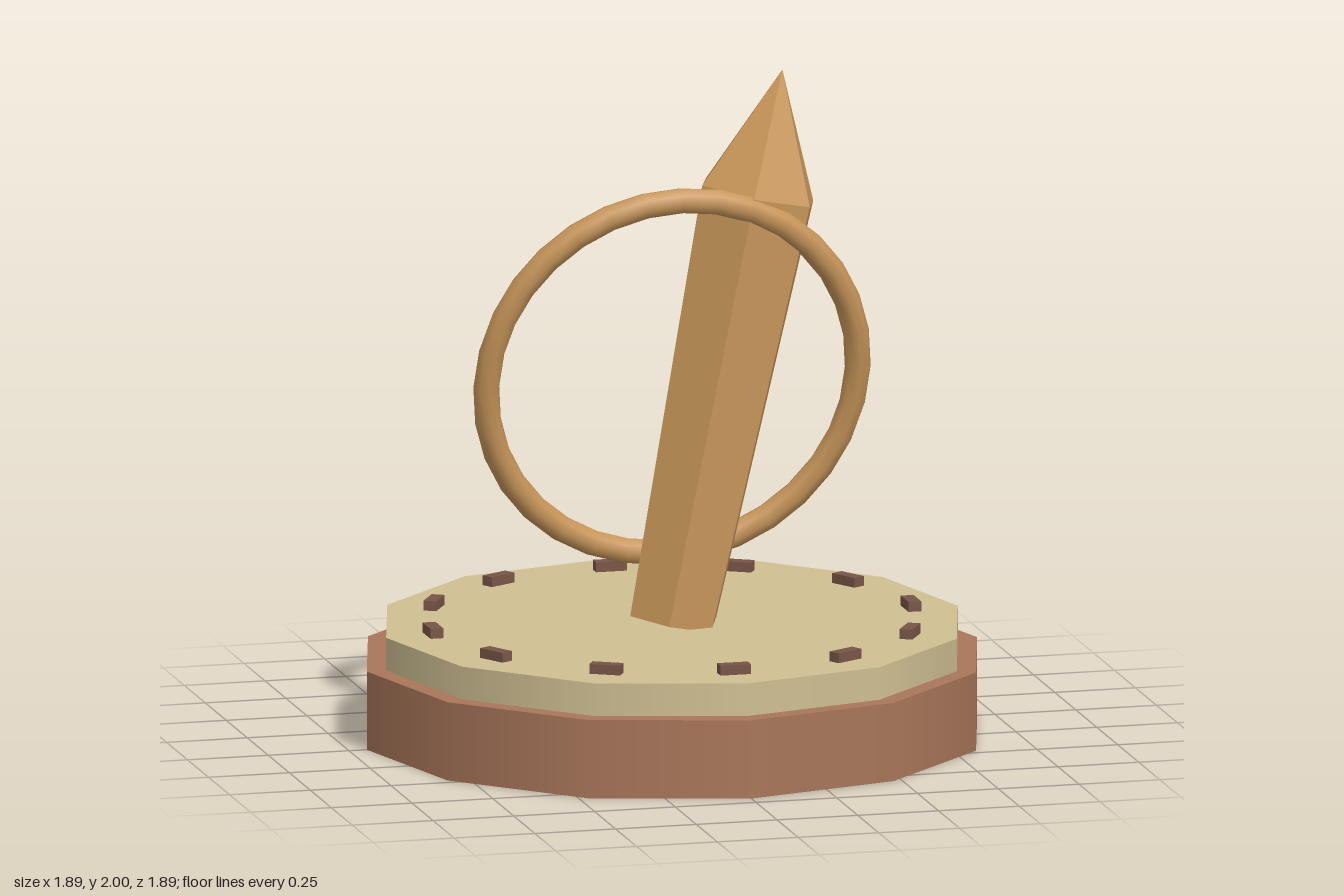
import * as THREE from 'three';

const mat = (color, flatShading = false) => new THREE.MeshStandardMaterial({ color, flatShading });

function part(name, geometry, material, parent, x = 0, y = 0, z = 0) {
  const mesh = new THREE.Mesh(geometry, material);
  mesh.name = name;
  mesh.position.set(x, y, z);
  parent.add(mesh);
  return mesh;
}

export function createModel() {
  const model = new THREE.Group();
  model.name = 'sundial';

  const clay = mat(0xa9765a);
  const sand = mat(0xcfbf92);
  const darkWood = mat(0x795548);
  const bronze = mat(0xc8965a);
  const bronzeFacets = mat(0xc8965a, true);

  // Twelve-sided plinth and dial plate
  part('base', new THREE.CylinderGeometry(0.945, 0.945, 0.24, 12), clay, model, 0, 0.12, 0);
  part('dialPlate', new THREE.CylinderGeometry(0.885, 0.885, 0.1, 12), sand, model, 0, 0.29, 0);

  // Hour marks, each lying along the rim
  const markGeometry = new THREE.BoxGeometry(0.095, 0.04, 0.04);
  for (let i = 0; i < 12; i++) {
    const a = (i * Math.PI) / 6;
    const mark = part('hourMark', markGeometry, darkWood, model, 0.74 * Math.sin(a), 0.35, 0.74 * Math.cos(a));
    mark.rotation.y = a;
  }

  // Leaning hexagonal pointer, widening upward to a pointed tip
  const pointer = new THREE.Group();
  pointer.name = 'pointer';
  pointer.position.set(0, 0.34, 0);
  pointer.quaternion.setFromUnitVectors(
    new THREE.Vector3(0, 1, 0),
    new THREE.Vector3(0.36, 1.66, -0.07).normalize()
  );
  model.add(pointer);
  const shaftLength = 1.32, tipLength = 0.38, twist = -0.32;
  const shaft = part('pointerShaft', new THREE.CylinderGeometry(0.19, 0.143, shaftLength, 6), bronzeFacets,
    pointer, 0, shaftLength / 2, 0);
  const tip = part('pointerTip', new THREE.ConeGeometry(0.19, tipLength, 6, 1, true), bronzeFacets,
    pointer, 0, shaftLength + tipLength / 2, 0);
  shaft.rotation.y = tip.rotation.y = twist;

  // Ring tipped forward around the pointer
  const ring = part('ring', new THREE.TorusGeometry(0.575, 0.04, 8, 32), bronze, model, 0, 1.093, 0);
  ring.rotation.x = 0.2;

  return model;
}
